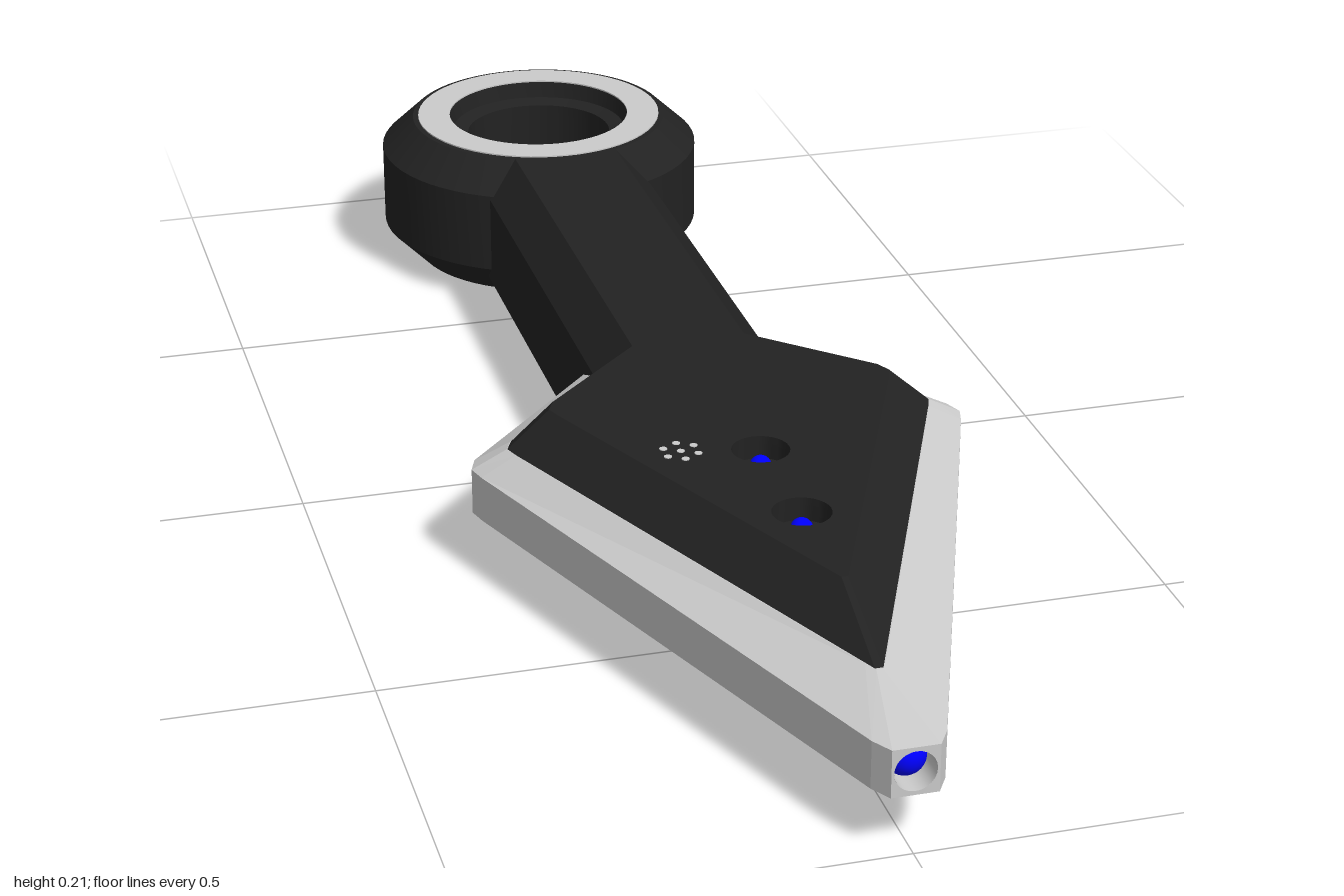
import * as THREE from 'three';
import { mergeGeometries, toCreasedNormals } from 'three/addons/utils/BufferGeometryUtils.js';

const mat = (color, extra = {}) => new THREE.MeshStandardMaterial({ color, side: THREE.DoubleSide, ...extra });
const black = mat(0x222222);
const grey = mat(0xcccccc);
const blue = mat(0x0000ff);
const pink = mat(0xff3399);

function add(parent, name, geometry, material, x = 0, y = 0, z = 0) {
  const mesh = new THREE.Mesh(geometry, material);
  mesh.name = name;
  mesh.position.set(x, y, z);
  parent.add(mesh);
  return mesh;
}

// Full outline from its +x half, listed tip to back as [x, z]
const mirrored = half => [...half, ...half.map(([x, z]) => [-x, z]).reverse()];

// Flat horizontal cap, with polygonal holes { x, z, r, n }
function cap(loop, y, up, holes = []) {
  const s = up ? -1 : 1;
  const toPoint = ([x, z]) => new THREE.Vector2(x, s * z);
  const shape = new THREE.Shape(loop.map(toPoint));
  for (const { x, z, r, n } of holes) {
    const rim = Array.from({ length: n }, (_, i) => {
      const a = (i / n) * Math.PI * 2;
      return toPoint([x + r * Math.sin(a), z + r * Math.cos(a)]);
    });
    shape.holes.push(new THREE.Path(rim));
  }
  return new THREE.ShapeGeometry(shape).rotateX(s * Math.PI / 2).translate(0, y, 0).toNonIndexed();
}

// Faceted solid through stacked outlines; levels are [y, half outline]
function loft(levels, { topHoles, bottomHoles, openTip = -1 } = {}) {
  const loops = levels.map(([y, half]) => ({ y, pts: mirrored(half) }));
  const pos = [];
  for (let k = 0; k < loops.length - 1; k++) {
    const lo = loops[k], hi = loops[k + 1], n = lo.pts.length;
    for (let i = 0; i < n; i++) {
      if (k === openTip && i === n - 1) continue;
      const j = (i + 1) % n;
      const v = (l, q) => [l.pts[q][0], l.y, l.pts[q][1]];
      const [a, b, c, d] = [v(lo, i), v(lo, j), v(hi, j), v(hi, i)];
      pos.push(...a, ...b, ...c, ...a, ...c, ...d);
    }
  }
  const walls = new THREE.BufferGeometry();
  walls.setAttribute('position', new THREE.Float32BufferAttribute(pos, 3));
  walls.computeVertexNormals();
  const top = loops[loops.length - 1];
  const caps = [cap(loops[0].pts, loops[0].y, false, bottomHoles), cap(top.pts, top.y, true, topHoles)];
  caps.forEach(c => c.deleteAttribute('uv'));
  return mergeGeometries([walls, ...caps]);
}

const lathe = (pts, n) =>
  toCreasedNormals(new THREE.LatheGeometry(pts.map(p => new THREE.Vector2(...p)), n), 0.5);

// Recess below a cap hole; negative depth goes upwards from the underside
const dish = ({ r, n }, depth) => lathe([[0, -depth], [r, -depth], [r, 0]], n);

export function createModel() {
  const model = new THREE.Group();
  model.name = 'dagger';

  // Grey blade rim, open at the tip for the lamp
  const belt = [[0.028, 1], [0.043, 0.975], [0.314, 0.25], [0.321, 0.225], [0.312, 0.2], [0.1, -0.03]];
  const inset = [[0.004, 0.87], [0.012, 0.855], [0.27, 0.25], [0.277, 0.23], [0.268, 0.21], [0.1, 0.03]];
  add(model, 'bladeRim', loft([[0.05, inset], [0.075, belt], [0.135, belt], [0.16, inset]], { openTip: 1 }), grey);

  // Tip face with a round socket and lamp
  const face = new THREE.Shape([[-0.028, -0.03], [0.028, -0.03], [0.028, 0.03], [-0.028, 0.03]]
    .map(p => new THREE.Vector2(...p)));
  face.holes.push(new THREE.Path().absarc(0, 0, 0.025, 0, Math.PI * 2, true));
  add(model, 'tipFace', new THREE.ShapeGeometry(face, 24), grey, 0, 0.105, 1);
  add(model, 'tipSocket', new THREE.CylinderGeometry(0.025, 0.025, 0.05, 24, 1, true).rotateX(Math.PI / 2),
    grey, 0, 0.105, 0.975);
  add(model, 'tipLamp', new THREE.SphereGeometry(0.025, 24, 16), blue, 0, 0.105, 0.96);

  // Black body: blade core and handle in one piece
  const buttons = [0.405, 0.575].map(z => ({ x: 0, z, r: 0.036, n: 28 }));
  const screws = [[0, 0.655], [-0.15, 0.24], [0.15, 0.24]].map(([x, z]) => ({ x, z, r: 0.025, n: 20 }));
  const pocket = { x: 0.02, z: 0.38, r: 0.075, n: 4 };
  const outline = (tipX, tipZ, shoulderX, handleX, waistZ) => [
    [tipX, tipZ], [shoulderX - 0.007, 0.25], [shoulderX, 0.23], [shoulderX - 0.009, 0.21],
    [handleX, waistZ], [handleX, -0.6]];
  const full = outline(0.005, 0.868, 0.276, 0.12, 0.05);
  add(model, 'body', loft([
    [0, outline(0.035, 0.7, 0.205, 0.075, 0.07)],
    [0.03, outline(0.045, 0.738, 0.248, 0.12, 0.055)],
    [0.046, outline(0.05, 0.742, 0.274, 0.12, 0.05)],
    [0.046, full],
    [0.16, full],
    [0.208, outline(0.004, 0.74, 0.222, 0.075, 0.075)],
  ], { topHoles: buttons, bottomHoles: [...screws, pocket] }), black);

  // Top buttons with small blue lights
  for (const b of buttons) {
    add(model, 'buttonRecess', dish(b, 0.03), black, b.x, 0.208, b.z);
    add(model, 'buttonLight', new THREE.SphereGeometry(0.014, 16, 12), blue, b.x, 0.185, b.z);
  }

  // Speaker dots
  for (let i = 0; i < 7; i++) {
    const a = (i / 6) * Math.PI * 2, r = i === 6 ? 0 : 0.022;
    add(model, 'speakerDot', new THREE.CylinderGeometry(0.005, 0.005, 0.002, 10), grey,
      -0.095 + r * Math.sin(a), 0.208, 0.385 + r * Math.cos(a));
  }

  // Underside screw recesses and sensor pocket
  for (const s of screws) add(model, 'screwRecess', dish(s, -0.03), black, s.x, 0, s.z);
  add(model, 'sensorPocket', dish(pocket, -0.035), black, pocket.x, 0, pocket.z);
  add(model, 'sensorLight', new THREE.SphereGeometry(0.012, 16, 12), pink, 0.05, 0.025, 0.37);

  // Pommel ring with a stepped bore
  add(model, 'pommelRing', lathe([
    [0.108, 0.012], [0.12, 0], [0.185, 0], [0.234, 0.05], [0.234, 0.165], [0.188, 0.208],
    [0.133, 0.208], [0.128, 0.185], [0.106, 0.18], [0.106, 0.1], [0.108, 0.012],
  ], 64), black, 0, 0, -0.77);
  add(model, 'pommelInlay', lathe([[0.18, 0.207], [0.18, 0.21], [0.133, 0.21], [0.133, 0.207]], 64),
    grey, 0, 0, -0.77);

  return model;
}
